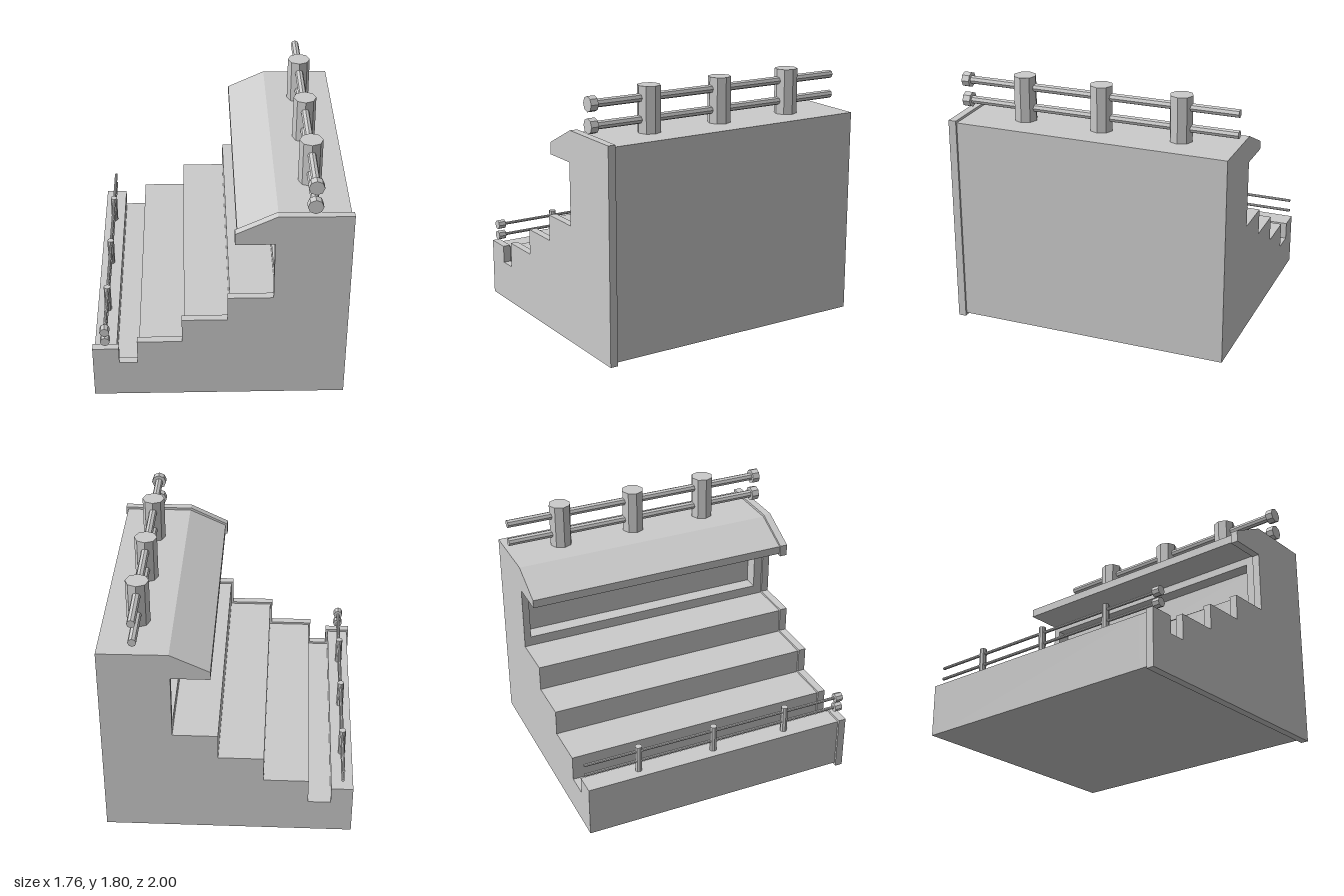
import * as THREE from 'three';

const material = new THREE.MeshStandardMaterial({ color: 0xcccccc, flatShading: true });

// Slab with a stepped side profile, running from z0 to z1
function slab(name, points, z0, z1) {
  const shape = new THREE.Shape(points.map(([x, y]) => new THREE.Vector2(x, y)));
  const geometry = new THREE.ExtrudeGeometry(shape, { depth: z1 - z0, bevelEnabled: false });
  geometry.translate(0, 0, z0);
  const mesh = new THREE.Mesh(geometry, material);
  mesh.name = name;
  return mesh;
}

// Octagonal bar, upright or lying along z
function bar(name, radius, length, x, y, z, alongZ = false) {
  const geometry = new THREE.CylinderGeometry(radius, radius, length, 8);
  if (alongZ) geometry.rotateX(Math.PI / 2);
  const mesh = new THREE.Mesh(geometry, material);
  mesh.name = name;
  mesh.position.set(x, y, z);
  return mesh;
}

// Railing: three posts, two rails and an end cap on each rail
function railing(name, { x, base, top, postRadius, railHeights, railRadius, capRadius }) {
  const group = new THREE.Group();
  group.name = name;
  for (const z of [-0.6, -0.03, 0.535]) {
    group.add(bar('post', postRadius, top - base, x, (top + base) / 2, z));
  }
  for (const y of railHeights) {
    group.add(bar('rail', railRadius, 1.96, x, y, -0.02, true));
    group.add(bar('railCap', capRadius, 0.055, x, y, 0.9725, true));
  }
  return group;
}

// Body profile: curb, gutter, three steps, back wall and overhanging roof
const lower = [
  [-0.865, 0.02], [0.865, 0.02], [0.865, 1.483], [0.385, 1.487], [0.115, 1.36], [0.115, 1.3],
];
const steps = [
  [0.38, 0.828], [0.07, 0.828], [0.07, 0.642], [-0.243, 0.642], [-0.243, 0.455],
  [-0.555, 0.455], [-0.555, 0.27], [-0.713, 0.27], [-0.713, 0.393], [-0.865, 0.393],
];
const solid = [...lower, [0.38, 1.3], ...steps];
const recessed = [
  ...lower, [0.38, 1.3], [0.38, 1.245], [0.485, 1.245], [0.485, 0.9], [0.38, 0.9], ...steps,
];

// End panel profile, standing slightly proud of the body
const panel = [
  [-0.88, 0], [0.88, 0], [0.88, 1.5], [0.38, 1.505], [0.1, 1.37], [0.1, 1.285],
  [0.365, 1.285], [0.365, 0.843], [0.055, 0.843], [0.055, 0.657], [-0.258, 0.657],
  [-0.258, 0.47], [-0.57, 0.47], [-0.57, 0.285], [-0.697, 0.285], [-0.697, 0.41], [-0.88, 0.41],
];

export function createModel() {
  const model = new THREE.Group();
  model.name = 'steppedStand';

  // The wall recess stops short of both ends
  const body = new THREE.Group();
  body.name = 'body';
  body.add(
    slab('backEnd', solid, -1, -0.95),
    slab('recessedMiddle', recessed, -0.95, 0.88),
    slab('frontEnd', solid, 0.88, 0.945),
  );
  model.add(body, slab('endPanel', panel, 0.945, 1));

  model.add(railing('roofRailing', {
    x: 0.62, base: 1.47, top: 1.803, postRadius: 0.08,
    railHeights: [1.722, 1.577], railRadius: 0.029, capRadius: 0.053,
  }));
  model.add(railing('curbRailing', {
    x: -0.79, base: 0.38, top: 0.595, postRadius: 0.025,
    railHeights: [0.555, 0.473], railRadius: 0.011, capRadius: 0.034,
  }));
  return model;
}
